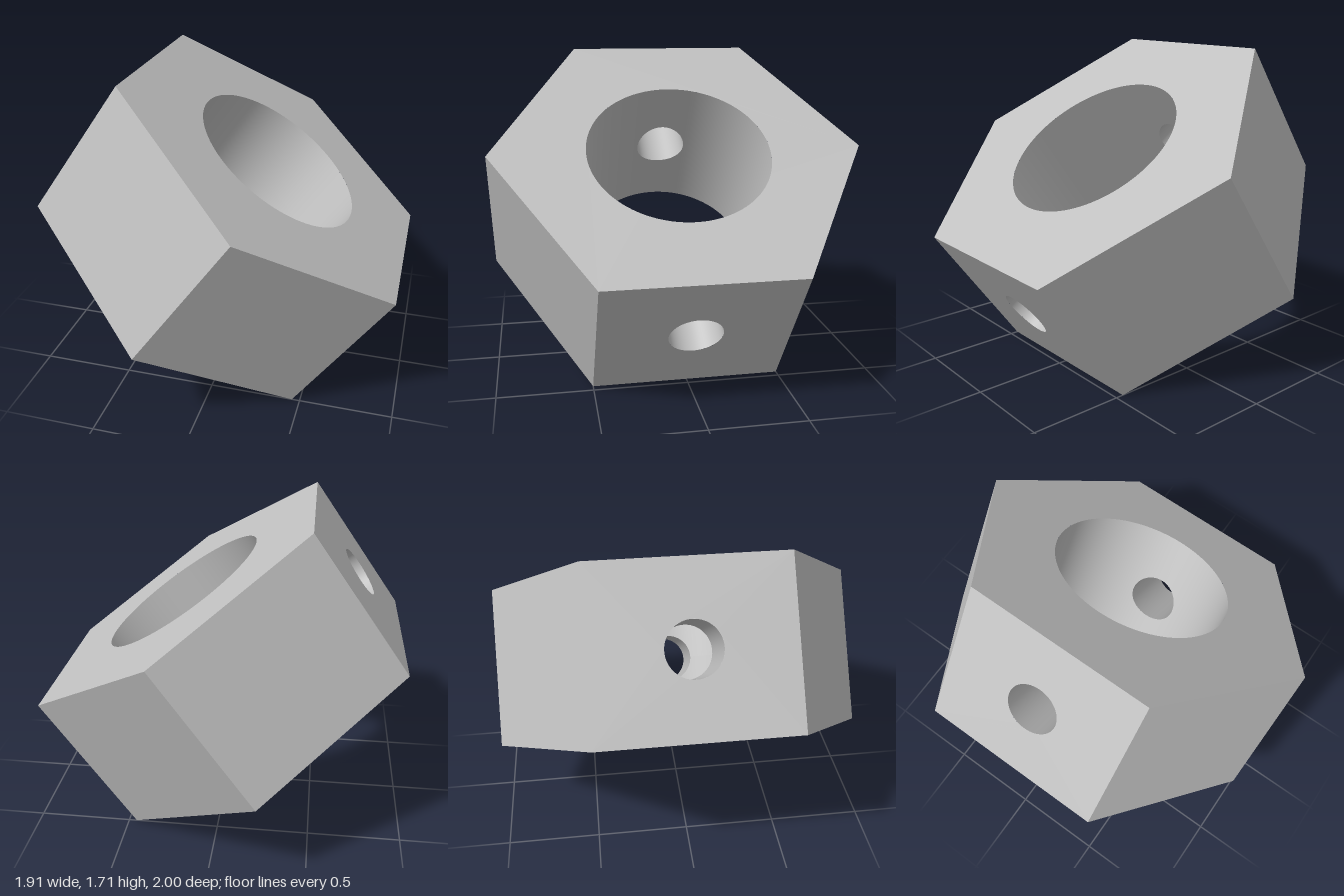
import * as THREE from 'three';

const APOTHEM = Math.sqrt(3) / 2;   // centre to flat side
const HEIGHT = APOTHEM;             // thickness of the nut
const BORE = 0.492;                 // radius of the main hole
const PIN = 0.14;                   // radius of the cross hole
const SEG = 64;

// Ribbon between two edges; rows are [pointA, pointB, normal]
function strip(rows) {
  const pos = [], nor = [], idx = [];
  const v = (p) => new THREE.Vector3(...p);
  const [a, b, n] = rows[0].map(v);
  const edge = v(rows[1][0]).sub(a);
  const flip = b.clone().sub(a).cross(edge).dot(n) < 0;
  rows.forEach(([p, q, m], i) => {
    pos.push(...p, ...q);
    nor.push(...m, ...m);
    if (i === rows.length - 1) return;
    const k = i * 2;
    if (flip) idx.push(k, k + 2, k + 1, k + 1, k + 2, k + 3);
    else idx.push(k, k + 1, k + 2, k + 1, k + 3, k + 2);
  });
  const g = new THREE.BufferGeometry();
  g.setAttribute('position', new THREE.Float32BufferAttribute(pos, 3));
  g.setAttribute('normal', new THREE.Float32BufferAttribute(nor, 3));
  g.setIndex(idx);
  return g;
}

function circlePath(r) {
  return new THREE.Path().absarc(0, 0, r, 0, Math.PI * 2, false);
}

export function createModel() {
  const model = new THREE.Group();
  model.name = 'hexNut';
  const steel = new THREE.MeshStandardMaterial({ color: 0xc0c0c0 });
  steel.name = 'greySteel';
  const nut = new THREE.Group();
  nut.name = 'tiltedNut';
  const add = (geometry, name) => {
    const mesh = new THREE.Mesh(geometry, steel);
    mesh.name = name;
    nut.add(mesh);
  };

  // Hexagonal end faces with the main hole
  const corners = [];
  for (let i = 0; i < 6; i++) {
    const a = Math.PI / 6 + (i * Math.PI) / 3;
    corners.push(new THREE.Vector2(Math.cos(a), Math.sin(a)));
  }
  const hex = new THREE.Shape(corners);
  hex.holes.push(circlePath(BORE));
  for (const s of [1, -1]) {
    const cap = new THREE.ShapeGeometry(hex, SEG);
    cap.rotateX((-s * Math.PI) / 2).translate(0, (s * HEIGHT) / 2, 0);
    add(cap, s > 0 ? 'topFace' : 'bottomFace');
  }

  // Six flat sides, two opposite ones drilled
  const h = HEIGHT / 2;
  const drilled = new THREE.Shape([[-0.5, -h], [0.5, -h], [0.5, h], [-0.5, h]].map((p) => new THREE.Vector2(...p)));
  drilled.holes.push(circlePath(PIN));
  for (let k = 0; k < 6; k++) {
    const open = k % 3 === 0;
    const side = open ? new THREE.ShapeGeometry(drilled, SEG) : new THREE.PlaneGeometry(1, HEIGHT);
    side.translate(0, 0, APOTHEM).rotateY(Math.PI / 2 + (k * Math.PI) / 3);
    add(side, open ? 'drilledSide' : 'plainSide');
  }

  // Bore wall: columns follow the cross hole's rim, then the plain stretch
  const angles = [];
  const alpha = Math.asin(PIN / BORE);
  for (const turn of [0, Math.PI]) {
    for (let i = 0; i <= SEG / 2; i++) {
      angles.push(turn + Math.asin((-PIN * Math.cos((2 * Math.PI * i) / SEG)) / BORE));
    }
    for (let i = 1; i < 48; i++) angles.push(turn + alpha + ((Math.PI - 2 * alpha) * i) / 48);
  }
  angles.push(Math.PI * 2 - alpha);
  for (const s of [1, -1]) {
    add(strip(angles.map((a) => {
      const c = Math.cos(a), d = Math.sin(a), z = BORE * d;
      const rim = Math.sqrt(Math.max(0, PIN * PIN - z * z));
      return [[BORE * c, s * rim, z], [BORE * c, s * h, z], [-c, 0, -d]];
    })), s > 0 ? 'upperBoreWall' : 'lowerBoreWall');
  }

  // Cross hole walls, from each drilled side in to the bore
  for (const s of [1, -1]) {
    const rows = [];
    for (let i = 0; i <= SEG; i++) {
      const t = (2 * Math.PI * i) / SEG;
      const c = Math.cos(t), d = Math.sin(t), z = PIN * c, y = PIN * d;
      rows.push([[s * APOTHEM, y, z], [s * Math.sqrt(BORE * BORE - z * z), y, z], [0, -d, -c]]);
    }
    add(strip(rows), s > 0 ? 'leftCrossHole' : 'rightCrossHole');
  }

  // Tip the nut so it rests on one edge
  const tilt = Math.atan(Math.SQRT1_2);
  nut.rotation.z = -tilt;
  nut.position.y = APOTHEM * Math.sin(tilt) + h * Math.cos(tilt);
  model.add(nut);
  return model;
}
